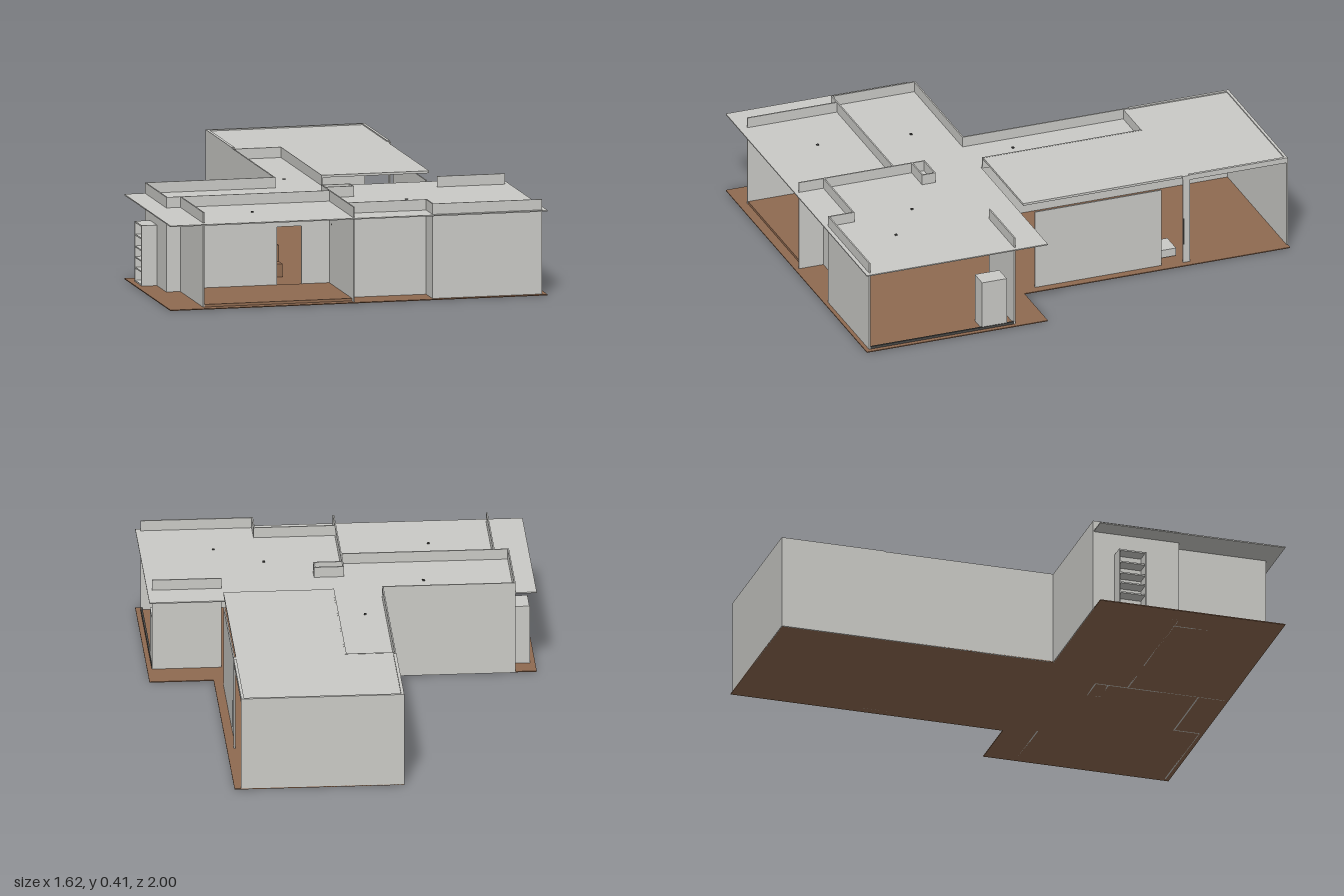
import * as THREE from 'three';

export function createModel() {
  const root = new THREE.Group();
  const mat = (name, color) => {
    const m = new THREE.MeshStandardMaterial({ color });
    m.name = name;
    return m;
  };
  const plaster = mat('plaster grey', 0xcacac6);
  const wood = mat('floor brown', 0x8f6a50);
  const dark = mat('trim dark grey', 0x4a4a48);

  // Box given by its minimum and maximum corners
  const box = (name, m, x0, x1, y0, y1, z0, z1) => {
    const mesh = new THREE.Mesh(new THREE.BoxGeometry(x1 - x0, y1 - y0, z1 - z0), m);
    mesh.position.set((x0 + x1) / 2, (y0 + y1) / 2, (z0 + z1) / 2);
    mesh.name = name;
    root.add(mesh);
    return mesh;
  };
  // Thin upright wall between two plan points along one axis
  const T = 0.003;
  const wall = (name, xa, za, xb, zb, y0 = 0, y1 = 0.405) =>
    box(name, plaster, Math.min(xa, xb) - T, Math.max(xa, xb) + T, y0, y1,
      Math.min(za, zb) - T, Math.max(za, zb) + T);

  // Floors
  box('frontFloor', wood, -0.812, 0.808, 0, 0.004, 0.19, 1);
  box('wingFloor', wood, -0.17, 0.54, 0, 0.004, -1, 0.19);
  box('frontRoomFloor', wood, -0.66, -0.02, 0.004, 0.015, 0.56, 0.96);

  // Front block ceiling and the low ceiling of the corridor
  box('frontCeiling', plaster, -0.812, 0.808, 0.355, 0.36, 0.19, 1);
  box('corridorCeiling', plaster, -0.17, 0.04, 0.355, 0.36, -0.53, 0.19);

  // Raised wing roof, L-shaped in plan
  box('backRoof', plaster, -0.165, 0.507, 0.39, 0.403, -0.997, -0.53);
  box('wingRoof', plaster, 0.04, 0.5, 0.393, 0.403, -0.53, 0.18);
  wall('roofStepSide', 0.04, -0.53, 0.04, 0.18, 0.355, 0.404);
  wall('roofStepBack', -0.165, -0.53, 0.04, -0.53, 0.355, 0.404);
  box('roofRimBack', plaster, -0.17, 0.51, 0.395, 0.408, -1, -0.988);
  box('roofRimLeft', plaster, -0.17, -0.157, 0.395, 0.408, -1, -0.55);
  box('roofRimRight', plaster, 0.5, 0.512, 0.385, 0.408, -1, -0.56);

  // Front walls, stepped in plan; their tops stand above the ceiling
  const frontRun = [[-0.02, 0.42], [-0.02, 0.98]];
  wall('dividingWall', ...frontRun[0], ...frontRun[1]);
  wall('insetFrontWall', -0.02, 0.87, 0.32, 0.87);
  wall('frontWallReturn', 0.32, 0.87, 0.32, 0.98);
  wall('frontWall', 0.32, 0.98, 0.785, 0.98);
  wall('closetBack', -0.02, 0.42, 0.1, 0.42);
  wall('closetSide', 0.1, 0.42, 0.1, 0.475);
  wall('closetFront', -0.02, 0.475, 0.1, 0.475);

  // Left room walls with the doorway in the cross wall
  wall('leftRoomWall', -0.66, 0.56, -0.66, 0.96);
  wall('crossWallLeft', -0.72, 0.56, -0.25, 0.56);
  wall('crossWallRight', -0.14, 0.56, -0.02, 0.56);
  wall('crossWallLintel', -0.25, 0.56, -0.14, 0.56, 0.26, 0.405);
  box('cornice', plaster, -0.655, -0.025, 0.338, 0.355, 0.565, 0.58);

  // Outer left wall with an opening for the cabinet
  wall('leftWallBack', -0.72, 0.19, -0.72, 0.28);
  wall('leftWallFront', -0.72, 0.4, -0.72, 0.56);
  wall('leftWallLintel', -0.72, 0.28, -0.72, 0.4, 0.26, 0.405);
  wall('backWallLeft', -0.72, 0.19, -0.17, 0.19);

  // Right kitchen wall and the sill of the open side
  wall('kitchenBackWall', 0.5, 0.33, 0.785, 0.33);
  box('sideSill', dark, 0.78, 0.788, 0.004, 0.014, 0.33, 0.98);

  // Wing walls; the back bay is open on the right
  wall('wingLeftWall', -0.167, -0.997, -0.167, 0.19);
  wall('wingBackWall', -0.167, -0.997, 0.51, -0.997);
  wall('wingRightWall', 0.5, -0.435, 0.5, 0.125, 0, 0.355);
  wall('bayPost', 0.508, -0.56, 0.508, -0.535);
  box('doorPull', dark, 0.512, 0.515, 0.09, 0.21, -0.536, -0.53);

  // Fridge by the right side
  box('fridge', plaster, 0.7, 0.785, 0.004, 0.22, 0.365, 0.475);

  // Shelf cabinet on the left side, open outward
  box('cabinetInnerPanel', plaster, -0.728, -0.72, 0.004, 0.26, 0.28, 0.4);
  for (const z of [0.28, 0.394]) box('cabinetSide', plaster, -0.79, -0.728, 0.004, 0.26, z, z + 0.006);
  for (const y of [0.004, 0.06, 0.105, 0.15, 0.2, 0.254]) {
    box('cabinetShelf', plaster, -0.788, -0.728, y, y + 0.006, 0.286, 0.394);
  }

  // Low furniture
  box('tallTable', wood, -0.25, -0.165, 0.06, 0.13, 0.196, 0.26);
  box('lowBench', wood, -0.25, -0.165, 0.004, 0.06, 0.196, 0.32);
  box('wingBench', plaster, 0.36, 0.46, 0.015, 0.05, -0.52, -0.44);

  // Half-dome wall lamp
  const lamp = new THREE.Mesh(
    new THREE.SphereGeometry(0.024, 16, 8, 0, Math.PI * 2, 0, Math.PI / 2), dark);
  lamp.position.set(-0.012, 0.265, 0.6);
  lamp.scale.x = 0.5;
  lamp.name = 'wallLamp';
  root.add(lamp);

  // Small fixings on the ceiling
  for (const [x, z] of [[-0.4, 0.75], [0.3, 0.6], [0.5, 0.75], [-0.35, 0.35], [-0.08, 0]]) {
    box('ceilingFixing', dark, x - 0.005, x + 0.005, 0.36, 0.364, z - 0.005, z + 0.005);
  }
  return root;
}
